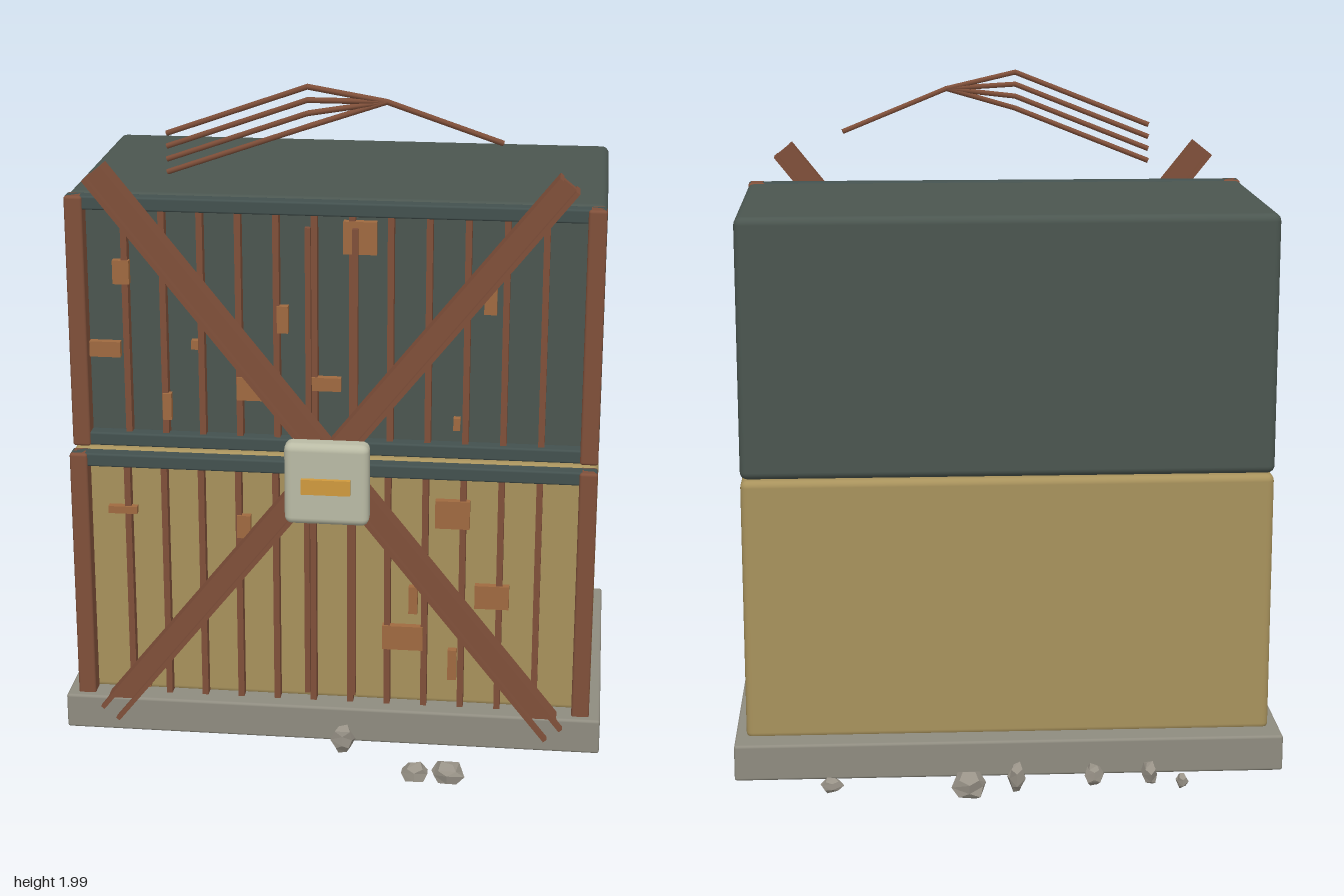
import * as THREE from 'three';
import { RoundedBoxGeometry } from 'three/addons/geometries/RoundedBoxGeometry.js';

const mat = (color, flatShading = false) => {
  const m = new THREE.MeshStandardMaterial({ color });
  m.flatShading = flatShading;
  return m;
};
const M = {
  slate: mat(0x4b5650), rail: mat(0x43514f), tan: mat(0xa8925c), rust: mat(0x80503a),
  patch: mat(0xa06a40), slab: mat(0x8f8c80), plate: mat(0xbabba5), amber: mat(0xd09a3e),
  rock: mat(0x989287, true),
};

// Box given by its limits on each axis; r > 0 rounds the edges
function block(parent, name, material, [x0, x1], [y0, y1], [z0, z1], r = 0) {
  const s = [x1 - x0, y1 - y0, z1 - z0];
  const geo = r ? new RoundedBoxGeometry(...s, 3, r) : new THREE.BoxGeometry(...s);
  const mesh = new THREE.Mesh(geo, material);
  mesh.position.set((x0 + x1) / 2, (y0 + y1) / 2, (z0 + z1) / 2);
  mesh.name = name;
  parent.add(mesh);
  return mesh;
}

function group(parent, name) {
  const g = new THREE.Group();
  g.name = name;
  parent.add(g);
  return g;
}

// Posts, rails, slats and scrap patches on the front of one storey
function frontFrame(root, name, y0, y1, z, rails, patches) {
  const g = group(root, name);
  for (const s of [-1, 1]) {
    const x = s * 0.738;
    block(g, 'post', M.rust, [x - 0.026, x + 0.026], [y0, y1], [z - 0.005, z + 0.052], 0.008);
  }
  for (const y of rails) block(g, 'rail', M.rail, [-0.763, 0.763], [y, y + 0.04], [z, z + 0.045], 0.006);
  for (let i = 0; i < 12; i++) {
    const x = -0.6 + i * 1.2 / 11;
    block(g, 'slat', M.rust, [x - 0.009, x + 0.009], [y0, y1 - 0.03], [z - 0.005, z + 0.028]);
  }
  for (const x of [-0.068, 0.066])
    block(g, 'outerSlat', M.rust, [x - 0.008, x + 0.008], [y0 + 0.05, y1 - 0.07], [z + 0.045, z + 0.062]);
  for (const [x, y, w, h] of patches)
    block(g, 'patch', M.patch, [x - w / 2, x + w / 2], [y - h / 2, y + h / 2], [z + 0.012, z + 0.034]);
}

// I-section beam between two points in the front plane
function brace(parent, a, b, z) {
  const w = 0.035, t = 0.013, web = 0.012;
  const s = new THREE.Shape();
  const half = [[-w, -w], [-w + t, -w], [-w + t, -web], [w - t, -web], [w - t, -w], [w, -w]];
  const pts = [...half, ...half.map(([x, y]) => [-x, -y])];
  s.setFromPoints(pts.map(([x, y]) => new THREE.Vector2(x, y)));
  const len = Math.hypot(b[0] - a[0], b[1] - a[1]);
  const geo = new THREE.ExtrudeGeometry(s, { depth: len, bevelEnabled: false });
  geo.rotateX(-Math.PI / 2); // length now along +y
  const m = new THREE.Mesh(geo, M.rust);
  m.position.set(a[0], a[1], z);
  m.rotation.z = Math.atan2(b[1] - a[1], b[0] - a[0]) - Math.PI / 2;
  m.name = 'brace';
  parent.add(m);
}

// Straight rod between two points
function rod(parent, a, b) {
  const A = new THREE.Vector3(...a), B = new THREE.Vector3(...b);
  const m = new THREE.Mesh(new THREE.CylinderGeometry(0.008, 0.008, A.distanceTo(B) + 0.004, 8), M.rust);
  m.position.copy(A).add(B).multiplyScalar(0.5);
  m.quaternion.setFromUnitVectors(new THREE.Vector3(0, 1, 0), B.sub(A).normalize());
  m.name = 'rod';
  parent.add(m);
}

// Faceted stone: a solid whose corners are pushed in and out by a rule
function stone(parent, [x, y, z], [rx, ry, rz], seed) {
  const geo = new THREE.DodecahedronGeometry(1, 0);
  const p = geo.attributes.position, v = new THREE.Vector3();
  for (let i = 0; i < p.count; i++) {
    v.fromBufferAttribute(p, i);
    const k = 0.96 + 0.13 * Math.sin(v.x * 5.1 + v.y * 7.3 + v.z * 3.7 + seed * 2.4);
    p.setXYZ(i, v.x * k * rx, v.y * k * ry, v.z * k * rz);
  }
  geo.computeVertexNormals();
  const m = new THREE.Mesh(geo, M.rock);
  m.position.set(x, y, z);
  m.name = 'stone';
  parent.add(m);
}

export function createModel() {
  const root = new THREE.Group();
  root.name = 'barricadedBlock';

  // Foundation and the two storeys
  block(root, 'foundation', M.slab, [-0.797, 0.797], [0.033, 0.14], [-0.517, 0.45], 0.008);
  block(root, 'lowerStorey', M.tan, [-0.765, 0.765], [0.13, 0.905], [-0.44, 0.372], 0.02);
  block(root, 'upperStorey', M.slate, [-0.765, 0.765], [0.91, 1.66], [-0.447, 0.317], 0.022);

  // Front frames
  frontFrame(root, 'lowerFrame', 0.13, 0.905, 0.375, [0.865], [
    [-0.615, 0.728, 0.085, 0.022], [0.352, 0.754, 0.1, 0.085], [0.47, 0.5, 0.1, 0.072],
    [0.21, 0.358, 0.12, 0.075], [0.24, 0.48, 0.026, 0.085], [0.357, 0.278, 0.026, 0.095],
    [-0.257, 0.69, 0.04, 0.07], [-0.558, 0.185, 0.022, 0.055],
  ]);
  frontFrame(root, 'upperFrame', 0.91, 1.66, 0.322, [0.912, 1.62], [
    [-0.61, 1.436, 0.048, 0.07], [-0.663, 1.204, 0.09, 0.046], [-0.485, 1.035, 0.026, 0.08],
    [-0.24, 1.098, 0.08, 0.07], [-0.145, 1.31, 0.032, 0.08], [-0.4, 1.226, 0.02, 0.027],
    [-0.02, 1.12, 0.085, 0.04], [0.077, 1.557, 0.095, 0.095], [0.447, 1.382, 0.036, 0.074],
    [0.357, 1.013, 0.02, 0.037],
  ]);

  // Crossed beams with the lock plate at their crossing
  const cross = group(root, 'crossBraces');
  for (const s of [-1, 1]) brace(cross, [s * 0.66, 0.095], [-s * 0.66, 1.75], 0.436);
  const lock = group(root, 'lock');
  block(lock, 'lockPlate', M.plate, [-0.121, 0.121], [0.756, 1.0], [0.468, 0.535], 0.022);
  block(lock, 'lockLight', M.amber, [-0.07, 0.07], [0.855, 0.9], [0.525, 0.548]);

  // Bent rods gathering into a single one
  const rods = group(root, 'bentRods');
  const joint = [0.15, 1.945, 0.346];
  for (let i = 0; i < 4; i++) {
    const knee = [-0.065, 1.991 - i * 0.037, 0.389];
    rod(rods, [-0.472, 1.835 - i * 0.037, 0.31], knee);
    rod(rods, knee, joint);
  }
  rod(rods, joint, [0.468, 1.822, 0.28]);

  // Loose rubble around the foundation
  const rubble = group(root, 'rubble');
  [
    [[0.27, 0.05, 0.645], [0.042, 0.033, 0.04]],
    [[0.365, 0.054, 0.655], [0.05, 0.037, 0.045]],
    [[0.045, 0.07, 0.508], [0.036, 0.048, 0.022]],
    [[-0.49, 0.045, -0.605], [0.018, 0.025, 0.025]],
    [[-0.4, 0.055, -0.565], [0.024, 0.035, 0.055]],
    [[-0.24, 0.05, -0.56], [0.03, 0.035, 0.019]],
    [[-0.015, 0.05, -0.57], [0.026, 0.05, 0.028]],
    [[0.125, 0.065, -0.655], [0.05, 0.042, 0.05]],
    [[0.515, 0.045, -0.587], [0.036, 0.025, 0.018]],
    [[-0.15, 0.04, 0.22], [0.018, 0.02, 0.018]],
    [[0.2, 0.04, 0.08], [0.018, 0.02, 0.018]],
  ].forEach(([pos, size], i) => stone(rubble, pos, size, i));

  return root;
}
